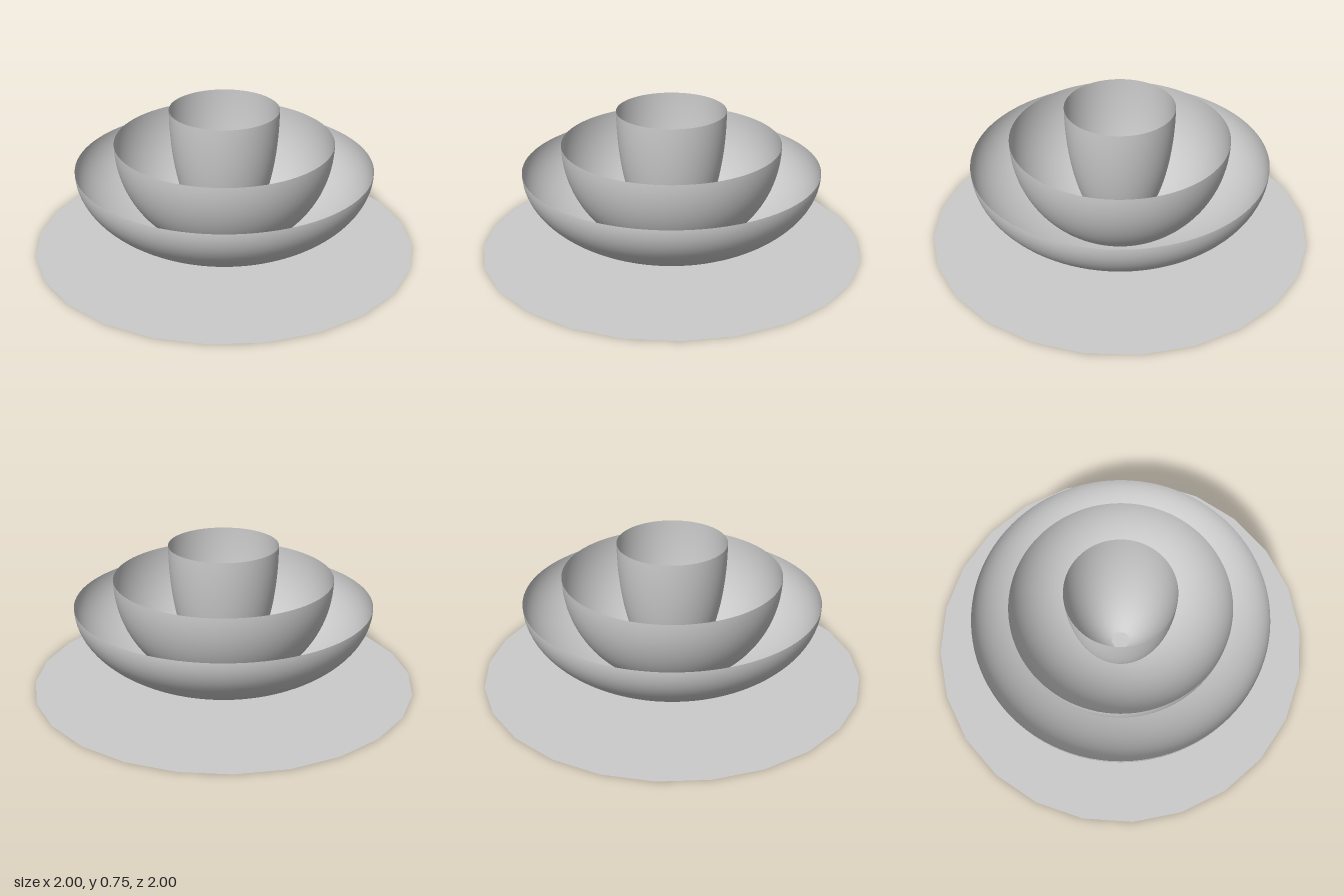
import * as THREE from 'three';

const material = new THREE.MeshStandardMaterial({ color: 0xcccccc, side: THREE.DoubleSide });

// Open lower half of an ellipsoid, hanging below its rim
function bowl(name, radius, rimY, bottomY) {
  const geometry = new THREE.SphereGeometry(1, 96, 32, 0, Math.PI * 2, Math.PI / 2, Math.PI / 2);
  geometry.scale(radius, rimY - bottomY, radius);
  const mesh = new THREE.Mesh(geometry, material);
  mesh.name = name;
  mesh.position.y = rimY;
  return mesh;
}

export function createModel() {
  const group = new THREE.Group();
  group.name = 'nestedBowls';

  // Flat ground disc with 24 sides
  const disc = new THREE.Mesh(new THREE.CircleGeometry(1, 24), material);
  disc.name = 'baseDisc';
  disc.rotation.x = -Math.PI / 2;
  group.add(disc);

  // Three nested bowls, narrower and taller towards the middle
  group.add(
    bowl('outerBowl', 0.773, 0.445, 0.02),
    bowl('middleBowl', 0.568, 0.58, 0.013),
    bowl('innerBowl', 0.283, 0.752, 0.01),
  );
  return group;
}
